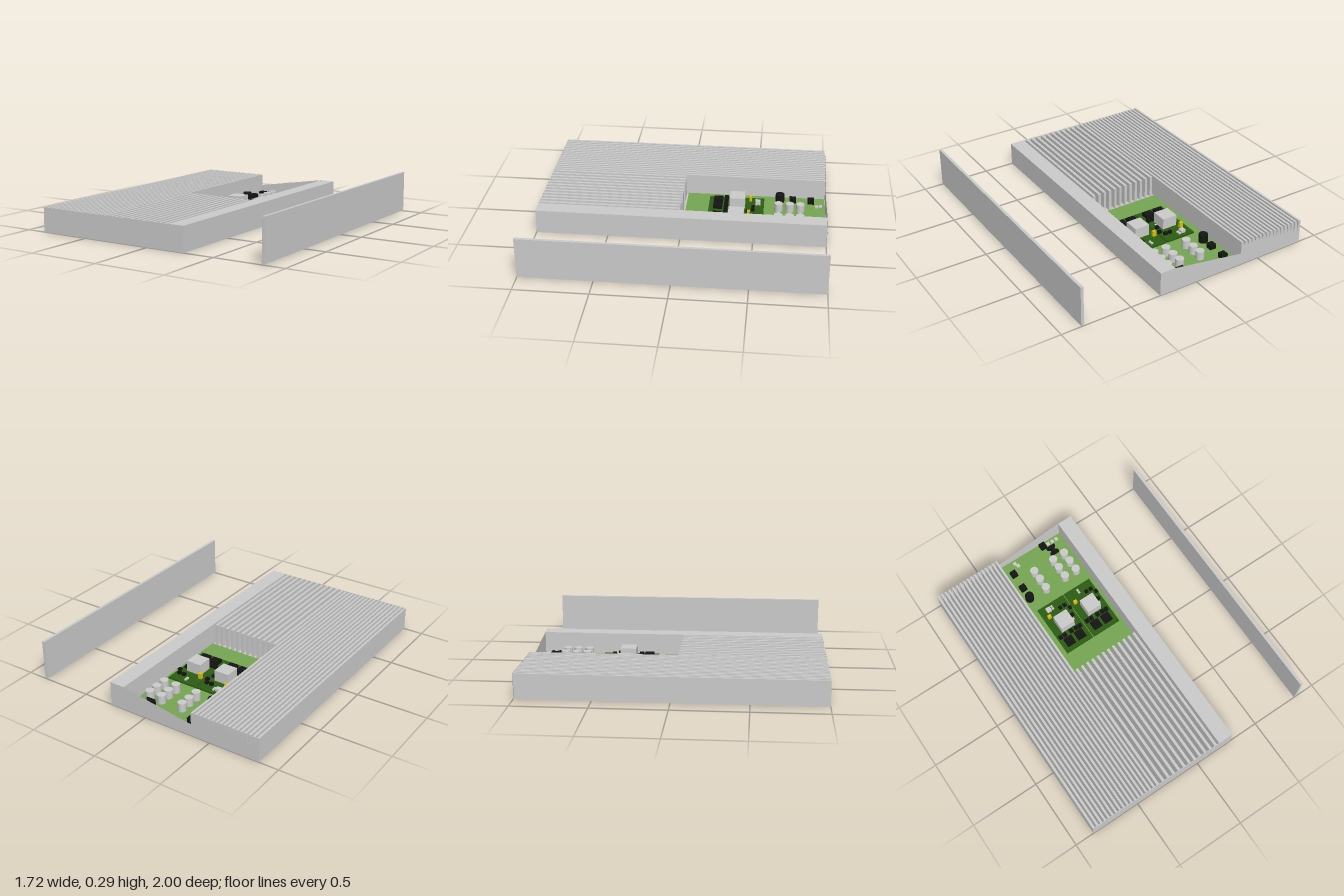
import * as THREE from 'three';

const mat = (color, side = THREE.FrontSide) => new THREE.MeshStandardMaterial({ color, side });
const grey = mat(0xcccccc);
const greyThin = mat(0xcccccc, THREE.DoubleSide);
const green = mat(0x76a653);
const darkGreen = mat(0x2c5c12);
const black = mat(0x141414);
const yellow = mat(0xd8c010);

const H = 0.17;       // housing height
const FLOOR = 0.012;  // thickness of the base
const BOARD = 0.02;   // top of the main board
const CARD = 0.032;   // top of the plug-in cards

// Box given by its limits on each axis
function block(parent, name, material, x0, x1, y0, y1, z0, z1) {
  const m = new THREE.Mesh(new THREE.BoxGeometry(x1 - x0, y1 - y0, z1 - z0), material);
  m.position.set((x0 + x1) / 2, (y0 + y1) / 2, (z0 + z1) / 2);
  m.name = name;
  parent.add(m);
}

// Square component standing on a surface
function chip(parent, name, material, x, z, w, h, y = BOARD, d = w) {
  block(parent, name, material, x - w / 2, x + w / 2, y, y + h, z - d / 2, z + d / 2);
}

// Round component standing on the main board
function can(parent, name, material, x, z, r, h) {
  const m = new THREE.Mesh(new THREE.CylinderGeometry(r, r, h, 20), material);
  m.position.set(x, BOARD + h / 2, z);
  m.name = name;
  parent.add(m);
}

function group(parent, name) {
  const g = new THREE.Group();
  g.name = name;
  parent.add(g);
  return g;
}

function buildHousing(root) {
  const housing = group(root, 'heatSinkHousing');
  block(housing, 'base', grey, -0.86, 0.28, 0, FLOOR, -1, 1);
  block(housing, 'sideRail', grey, 0.17, 0.28, FLOOR, H, -0.999, 0.997);

  // Long fins beside the board
  const longFins = group(housing, 'longFins');
  const pitch = 0.0303;
  for (let i = 0; i < 17; i++) {
    const x = -0.86 + i * pitch;
    block(longFins, 'longFin', grey, x, x + 0.0155, FLOOR, H, -0.997, 0.997);
  }

  // Short fins in front of the board
  const shortFins = group(housing, 'shortFins');
  for (let i = 0; i < 12; i++) {
    const x = -0.345 + i * 0.0435;
    block(shortFins, 'shortFin', grey, x, x + 0.019, FLOOR, H, 0.012, 0.997);
  }

  // Closed front face
  block(housing, 'frontWall', grey, -0.86, 0.28, FLOOR, H, 0.997, 1);

  // Thin rear face: sloping beside the board, toothed behind the fins
  const s = new THREE.Shape();
  s.moveTo(-0.86, 0);
  s.lineTo(0.28, 0);
  s.lineTo(0.28, H);
  s.lineTo(0.17, H);
  s.lineTo(-0.36, 0.085);
  for (let i = 16; i >= 0; i--) {
    const x = -0.86 + i * pitch;
    s.lineTo(x + 0.0155, H);
    s.lineTo(x, H);
    if (i > 0) s.lineTo(x - 0.008, H - 0.03 - 0.06 * (1 - i / 16) ** 2);
  }
  const rear = new THREE.Mesh(new THREE.ShapeGeometry(s), greyThin);
  rear.position.z = -1;
  rear.name = 'rearWall';
  housing.add(rear);
}

function buildMainBoard(root) {
  const board = group(root, 'mainBoard');
  block(board, 'boardPanel', green, -0.36, 0.17, FLOOR, BOARD, -0.998, 0);

  // Capacitors in three columns
  for (const x of [-0.16, 0.005, 0.1])
    for (const z of [-0.82, -0.745, -0.665]) can(board, 'capacitor', grey, x, z, 0.03, 0.06);
  can(board, 'coil', black, -0.297, -0.673, 0.032, 0.06);

  for (const [x, z] of [[-0.292, -0.896], [-0.295, -0.766], [0.006, -0.967]])
    chip(board, 'controlChip', black, x, z, 0.046, 0.035);
  for (const [x, z] of [[-0.24, -0.966], [-0.228, -0.94], [0.05, -0.966], [0.087, -0.966], [0.122, -0.966]])
    chip(board, 'resistor', grey, x, z, 0.024, 0.012);

  // Waisted transformer core
  const s = new THREE.Shape();
  const half = [[0.033, -0.032], [0.033, -0.022], [0.012, -0.006], [0.012, 0.006], [0.033, 0.022], [0.033, 0.032]];
  const outline = [...half, ...half.map(([x, y]) => [-x, y]).reverse()];
  s.setFromPoints(outline.map(([x, y]) => new THREE.Vector2(x, y)));
  const core = new THREE.Mesh(new THREE.ExtrudeGeometry(s, { depth: 0.04, bevelEnabled: false }), black);
  core.rotation.x = -Math.PI / 2;
  core.position.set(0.05, BOARD, -0.9);
  core.name = 'transformerCore';
  board.add(core);
}

// One plug-in card; x is its left-hand edge seen from above
function buildCard(root, x, first) {
  const card = group(root, 'plugInCard');
  block(card, 'cardPanel', darkGreen, x, x + 0.22, BOARD, CARD, -0.56, -0.165);
  chip(card, 'heatSpreader', grey, x + 0.108, -0.37, 0.11, 0.08, CARD);
  for (const dx of [0.063, 0.152]) chip(card, 'powerChip', black, x + dx, -0.23, 0.064, 0.025, CARD);
  for (const dx of [0.025, 0.06, 0.115, 0.155, 0.188])
    chip(card, 'smallChip', black, x + dx, -0.288, 0.028, 0.02, CARD);
  for (const [dx, z] of [[0.148, -0.483], [0.184, -0.483], [0.207, -0.446], [0.19, -0.39]])
    chip(card, 'smallChip', black, x + dx, z, 0.024, 0.018, CARD);
  for (const z of [-0.528, -0.508]) chip(card, 'cardResistor', grey, x + 0.1, z, 0.015, 0.01, CARD);
  chip(card, 'cardResistor', grey, x + 0.18, -0.36, 0.014, 0.01, CARD);
  chip(card, 'yellowCapacitor', yellow, x + (first ? 0.042 : 0.032), first ? -0.462 : -0.454, 0.026, 0.04, CARD, 0.02);
  if (first) chip(card, 'clockChip', grey, x + 0.068, -0.515, 0.036, 0.02, CARD);
}

export function createModel() {
  const root = new THREE.Group();
  root.name = 'heatSinkWithElectronics';
  buildHousing(root);
  buildMainBoard(root);
  buildCard(root, -0.303, true);
  buildCard(root, -0.076, false);
  // Separate upright panel
  block(root, 'sidePanel', grey, 0.84, 0.86, 0.005, 0.29, -1, 1);
  return root;
}
